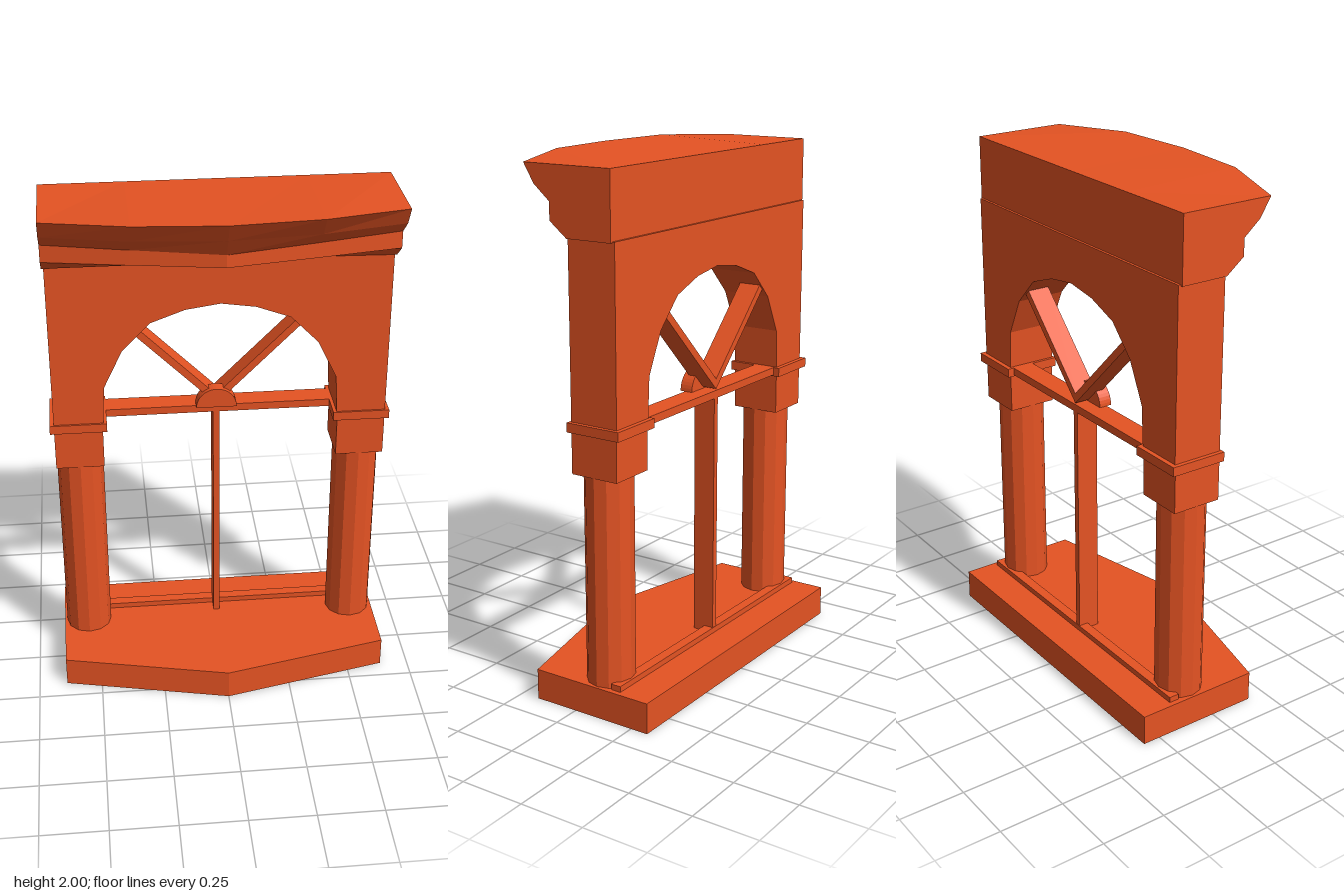
import * as THREE from 'three';

const material = new THREE.MeshStandardMaterial({ color: 0xe55323, flatShading: true });

function add(parent, name, geometry, x = 0, y = 0, z = 0) {
  const mesh = new THREE.Mesh(geometry, material);
  mesh.name = name;
  mesh.position.set(x, y, z);
  parent.add(mesh);
  return mesh;
}

// Box given by its limits on each axis
function addBox(parent, name, [x0, x1], [y0, y1], [z0, z1]) {
  return add(parent, name, new THREE.BoxGeometry(x1 - x0, y1 - y0, z1 - z0),
    (x0 + x1) / 2, (y0 + y1) / 2, (z0 + z1) / 2);
}

const toShape = (points) => new THREE.Shape(points.map(([x, y]) => new THREE.Vector2(x, y)));

// Moulding lofted along x; its front bows outward towards the middle
function corniceGeometry() {
  // each row: edge z, edge y, middle z, middle y, share of the bow at the half-way stations
  const profile = [
    [-0.185, 1.74, -0.185, 1.74, 0.5],
    [0.0, 1.74, 0.01, 1.755, 0.5],
    [0.07, 1.795, 0.205, 1.805, 0.5],
    [0.07, 1.86, 0.205, 1.853, 0.5],
    [0.135, 1.915, 0.255, 1.925, 0.7],
    [0.178, 1.985, 0.305, 2.0, 0.8],
    [-0.185, 1.985, -0.185, 1.985, 0.5],
  ];
  const stations = [-0.64, -0.33, 0, 0.33, 0.64];
  const rings = stations.map((x, i) => profile.map(([ez, ey, mz, my, share]) => {
    const bow = [0, share, 1, share, 0][i];
    const lift = my === 2 && bow > 0 ? 1 : bow;
    return [x, ey + (my - ey) * lift, ez + (mz - ez) * bow];
  }));
  const positions = [];
  const tri = (a, b, c) => positions.push(...a, ...b, ...c);
  const n = profile.length;
  for (let i = 0; i < stations.length - 1; i++) {
    for (let j = 0; j < n; j++) {
      const k = (j + 1) % n;
      const a = rings[i][j], b = rings[i + 1][j], c = rings[i + 1][k], d = rings[i][k];
      tri(a, b, c);
      tri(a, c, d);
    }
  }
  // end caps
  const first = rings[0], last = rings[rings.length - 1];
  const outline = first.map(([, y, z]) => new THREE.Vector2(z, y));
  for (const [a, b, c] of THREE.ShapeUtils.triangulateShape(outline, [])) {
    tri(first[a], first[b], first[c]);
    tri(last[c], last[b], last[a]);
  }
  const geometry = new THREE.BufferGeometry();
  geometry.setAttribute('position', new THREE.Float32BufferAttribute(positions, 3));
  geometry.computeVertexNormals();
  return geometry;
}

export function createModel() {
  const model = new THREE.Group();
  model.name = 'archedWindow';

  // Sill slab with a pointed front
  const sill = new THREE.ExtrudeGeometry(
    toShape([[-0.64, 0.32], [0.64, 0.32], [0.64, -0.175], [0, -0.32], [-0.64, -0.175]]),
    { depth: 0.118, bevelEnabled: false });
  sill.rotateX(-Math.PI / 2);
  add(model, 'sill', sill);

  // Columns with impost blocks and capitals
  for (const side of [-1, 1]) {
    const pillar = new THREE.Group();
    pillar.name = side < 0 ? 'rightPillar' : 'leftPillar';
    pillar.position.x = side * 0.54;
    add(pillar, 'column', new THREE.CylinderGeometry(0.09, 0.09, 0.792, 12), 0, 0.514, -0.092);
    addBox(pillar, 'impostBlock', [-0.092, 0.092], [0.91, 1.07], [-0.193, 0]);
    addBox(pillar, 'capital', [-0.108, 0.108], [1.065, 1.1], [-0.213, 0.008]);
    model.add(pillar);
  }

  // Wall with the faceted arch opening
  const half = [[0.445, 1.1], [0.437, 1.25], [0.365, 1.4], [0.26, 1.508], [0.13, 1.556]];
  const arch = [...half, [0, 1.575], ...half.map(([x, y]) => [-x, y]).reverse()];
  const wall = new THREE.ExtrudeGeometry(
    toShape([[0.632, 1.1], [0.632, 1.745], [-0.632, 1.745], [-0.632, 1.1], ...arch.slice().reverse()]),
    { depth: 0.195, bevelEnabled: false });
  add(model, 'archWall', wall, 0, 0, -0.195);

  add(model, 'cornice', corniceGeometry());

  // Window bars
  const barZ = [-0.188, -0.1];
  addBox(model, 'bottomRail', [-0.62, 0.62], [0.118, 0.14], [-0.19, -0.15]);
  addBox(model, 'mullion', [-0.02, 0.004], [0.118, 1.08], barZ);
  addBox(model, 'crossbar', [-0.46, 0.46], [1.07, 1.1], barZ);
  for (const side of [-1, 1]) {
    const spoke = addBox(model, side < 0 ? 'rightSpoke' : 'leftSpoke',
      [-0.014, 0.014], [-0.235, 0.235], barZ);
    spoke.position.x = side * 0.157 - 0.008;
    spoke.position.y = 1.282;
    spoke.rotation.z = -side * Math.PI / 4;
  }

  // Half-round boss where the spokes meet
  const boss = new THREE.CylinderGeometry(0.078, 0.078, 0.05, 10, 1, false, Math.PI / 2, Math.PI);
  boss.rotateX(Math.PI / 2);
  const bossShape = new THREE.Shape();
  bossShape.absarc(0, 0, 0.078, 0, Math.PI, false);
  boss.dispose();
  add(model, 'boss', new THREE.ExtrudeGeometry(bossShape,
    { depth: 0.05, bevelEnabled: false, curveSegments: 10 }), -0.008, 1.1, -0.13);

  return model;
}
